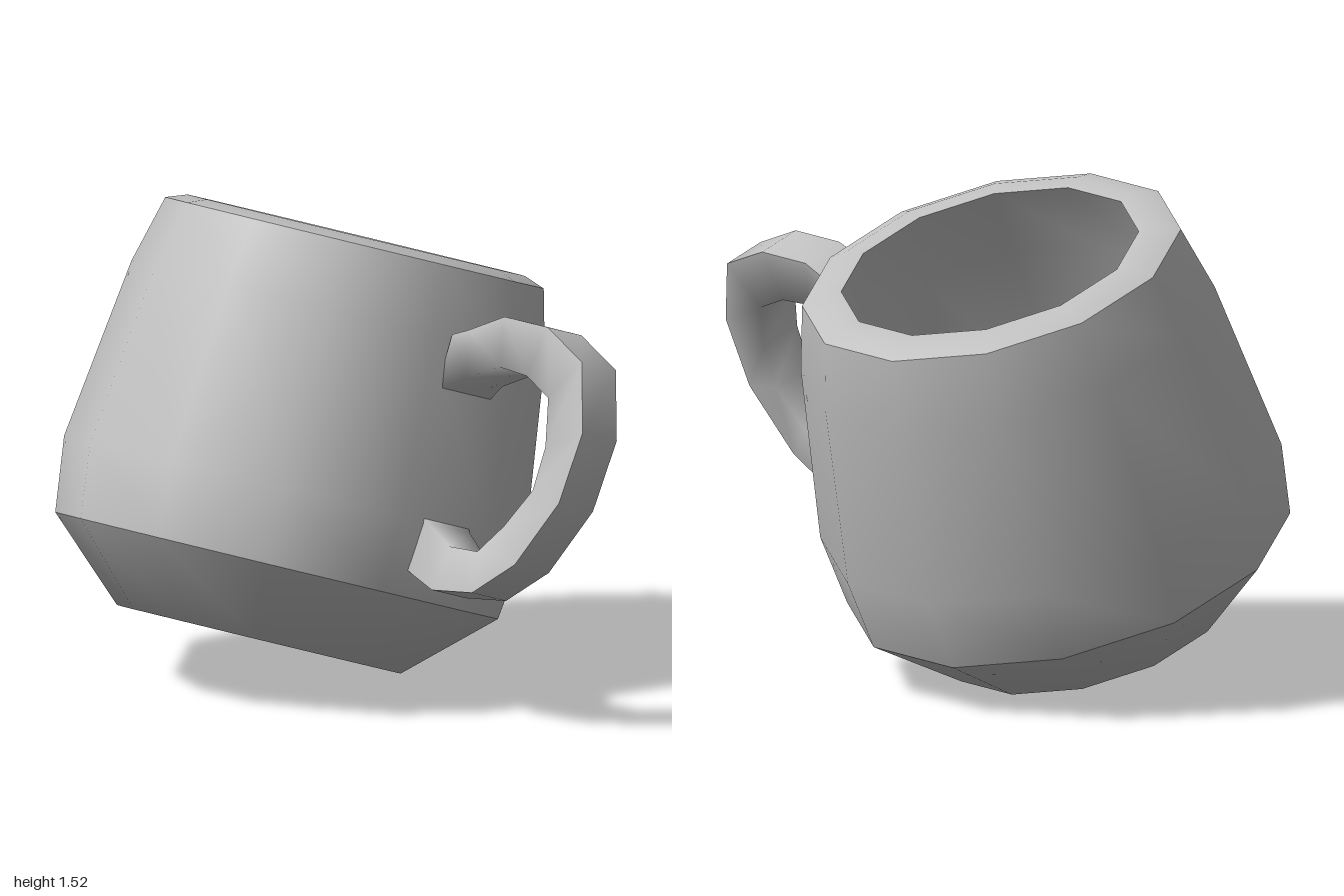
import * as THREE from 'three';

const SIDES = 12;
const toCorner = 1 / Math.cos(Math.PI / SIDES); // flat-to-flat radius -> corner radius

export function createModel() {
  const clay = new THREE.MeshStandardMaterial({ color: 0xc0c0c0 });
  clay.name = 'greyClay';

  const model = new THREE.Group();
  model.name = 'tiltedMug';
  const mug = new THREE.Group();
  mug.name = 'mug';
  mug.position.set(0, 0.1375, 0.185);
  mug.rotation.x = THREE.MathUtils.degToRad(-18.2);
  model.add(mug);

  const add = (name, geometry, x = 0) => {
    const mesh = new THREE.Mesh(geometry, clay);
    mesh.name = name;
    mesh.position.x = x;
    mug.add(mesh);
  };

  // Body: smooth twelve-sided bands, creased where one band meets the next
  const bands = {
    base: [[0, 0], [0.437, 0], [0.682, 0.235]],
    outerWall: [[0.682, 0.235], [0.71, 0.472], [0.637, 1.048], [0.583, 1.264]],
    rim: [[0.583, 1.264], [0.52, 1.288], [0.458, 1.285]],
    innerWall: [[0.458, 1.285], [0.53, 1.04], [0.59, 0.49], [0.55, 0.3], [0.36, 0.12], [0, 0.12]],
  };
  for (const [name, profile] of Object.entries(bands)) {
    const points = profile.map(([r, y]) => new THREE.Vector2(r * toCorner, y));
    add(name, new THREE.LatheGeometry(points, SIDES, Math.PI / SIDES), -0.295);
  }

  // Handle stations: outer x, outer y, inner x, inner y, half width (flared at the wall)
  const stations = [
    [0.355, 1.06, 0.345, 0.88, 0.11],
    [0.39, 1.085, 0.43, 0.94, 0.08],
    [0.53, 1.152, 0.56, 0.997, 0.074],
    [0.73, 1.152, 0.69, 0.99, 0.074],
    [0.92, 1.073, 0.81, 0.94, 0.074],
    [1.0, 0.86, 0.85, 0.79, 0.074],
    [0.97, 0.63, 0.84, 0.65, 0.074],
    [0.84, 0.413, 0.75, 0.52, 0.074],
    [0.68, 0.297, 0.66, 0.425, 0.074],
    [0.5, 0.276, 0.53, 0.42, 0.074],
    [0.41, 0.31, 0.43, 0.475, 0.09],
    [0.365, 0.335, 0.375, 0.51, 0.115],
  ];
  const rings = stations.map(([ox, oy, ix, iy, w]) => [
    [ox, oy, -w], [ox, oy, w], [ix, iy, w], [ix, iy, -w],
  ]);

  // Skins the given run of ring corners along the handle with shared normals
  const skin = (corners) => {
    const n = corners.length;
    const positions = rings.flatMap((ring) => corners.flatMap((c) => ring[c]));
    const index = [];
    for (let k = 0; k < rings.length - 1; k++) {
      for (let j = 0; j < n - 1; j++) {
        const a = k * n + j;
        index.push(a, a + 1, a + n + 1, a, a + n + 1, a + n);
      }
    }
    return build(positions, index);
  };
  add('handleOuterBand', skin([0, 1]));
  add('handleInnerBand', skin([1, 2, 3, 0]));

  // Flat ends where the handle meets the wall
  add('handleUpperEnd', build(rings[0].flat(), [0, 3, 2, 0, 2, 1]));
  add('handleLowerEnd', build(rings[rings.length - 1].flat(), [0, 1, 2, 0, 2, 3]));

  return model;
}

function build(positions, index) {
  const geometry = new THREE.BufferGeometry();
  geometry.setAttribute('position', new THREE.Float32BufferAttribute(positions, 3));
  geometry.setIndex(index);
  geometry.computeVertexNormals();
  return geometry;
}
